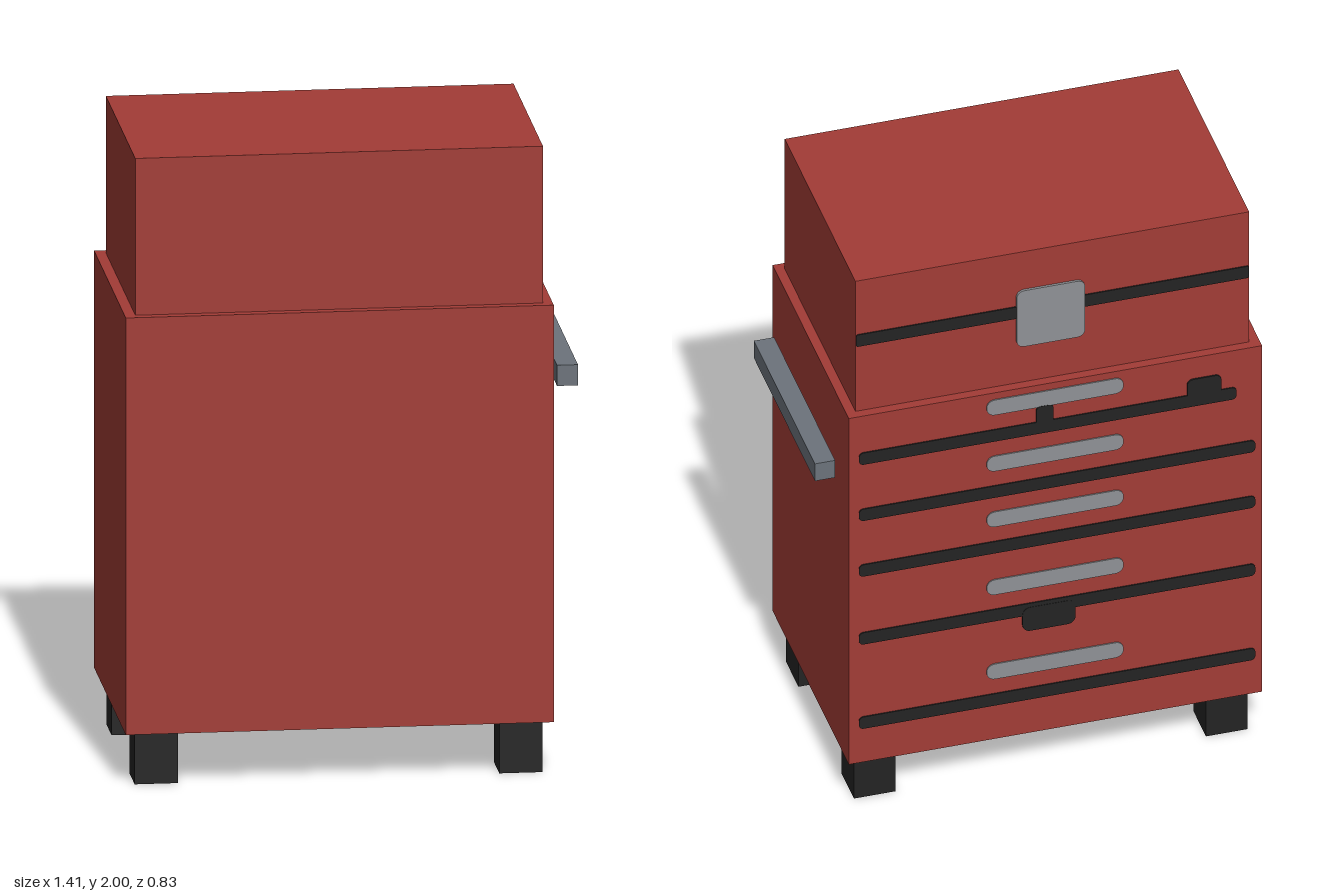
import * as THREE from 'three';

const mat = (name, color, side = THREE.FrontSide) => {
  const m = new THREE.MeshStandardMaterial({ color, side });
  m.name = name;
  return m;
};

export function createModel() {
  const group = new THREE.Group();
  const red = mat('cabinet red', 0xa33c36, THREE.DoubleSide);
  const black = mat('black', 0x232323, THREE.DoubleSide);
  const steel = mat('handle grey', 0x6c737b, THREE.DoubleSide);
  const silver = mat('pull silver', 0x8f9296);

  const add = (name, geometry, material) => {
    const mesh = new THREE.Mesh(geometry, material);
    mesh.name = name;
    group.add(mesh);
    return mesh;
  };

  // Sheet-metal box between two corners, open underneath
  const shell = (name, [x0, y0, z0], [x1, y1, z1], material) => {
    const g = new THREE.BoxGeometry(x1 - x0, y1 - y0, z1 - z0);
    const idx = Array.from(g.index.array);
    idx.splice(18, 6); // drop the bottom face
    g.setIndex(idx);
    g.clearGroups();
    g.translate((x0 + x1) / 2, (y0 + y1) / 2, (z0 + z1) / 2);
    return add(name, g, material);
  };

  // Thin plate with rounded corners lying on a back face at depth z
  const plate = (name, x, y, w, h, r, z, material, thick = 0.004) => {
    const s = new THREE.Shape();
    const a = w / 2, b = h / 2;
    s.moveTo(-a + r, -b);
    s.lineTo(a - r, -b);
    s.absarc(a - r, -b + r, r, -Math.PI / 2, 0);
    s.absarc(a - r, b - r, r, 0, Math.PI / 2);
    s.absarc(-a + r, b - r, r, Math.PI / 2, Math.PI);
    s.absarc(-a + r, -b + r, r, Math.PI, Math.PI * 1.5);
    const g = new THREE.ExtrudeGeometry(s, { depth: thick, bevelEnabled: false, curveSegments: 4 });
    g.translate(x, y, z - thick);
    return add(name, g, material);
  };

  // Cabinet, upper chest and side push bar
  const bodyBack = -0.413, chestBack = -0.383;
  shell('cabinet', [-0.71, 0.17, bodyBack], [0.62, 1.5, 0.415], red);
  shell('upperChest', [-0.677, 1.5, chestBack], [0.59, 2, 0.385], red);
  shell('pushBar', [0.64, 1.22, -0.332], [0.705, 1.286, 0.332], steel);

  // Feet
  for (const x of [-0.61, 0.523])
    for (const z of [-0.3, 0.303])
      shell('foot', [x - 0.067, 0, z - 0.067], [x + 0.067, 0.17, z + 0.067], black);

  // Drawer gaps with a pull above each
  [1.338, 1.122, 0.908, 0.647, 0.323].forEach((y, i) => {
    const right = i === 0 ? -0.627 : -0.687;
    plate('drawerGap', (0.588 + right) / 2, y, 0.588 - right, 0.045, 0.015, bodyBack, black);
    plate('drawerPull', -0.043, y + 0.108, 0.44, 0.058, 0.026, bodyBack, silver);
  });

  // Notches along the gaps
  plate('notch', -0.01, 1.375, 0.055, 0.09, 0.015, bodyBack, black, 0.005);
  plate('notch', -0.523, 1.375, 0.11, 0.09, 0.02, bodyBack, black, 0.005);
  plate('notch', -0.023, 0.61, 0.17, 0.09, 0.025, bodyBack, black, 0.005);

  // Chest lid seam and latch
  plate('lidSeam', -0.0435, 1.772, 1.264, 0.045, 0.006, chestBack, black);
  plate('latch', -0.037, 1.748, 0.22, 0.215, 0.025, chestBack, silver, 0.008);

  return group;
}
